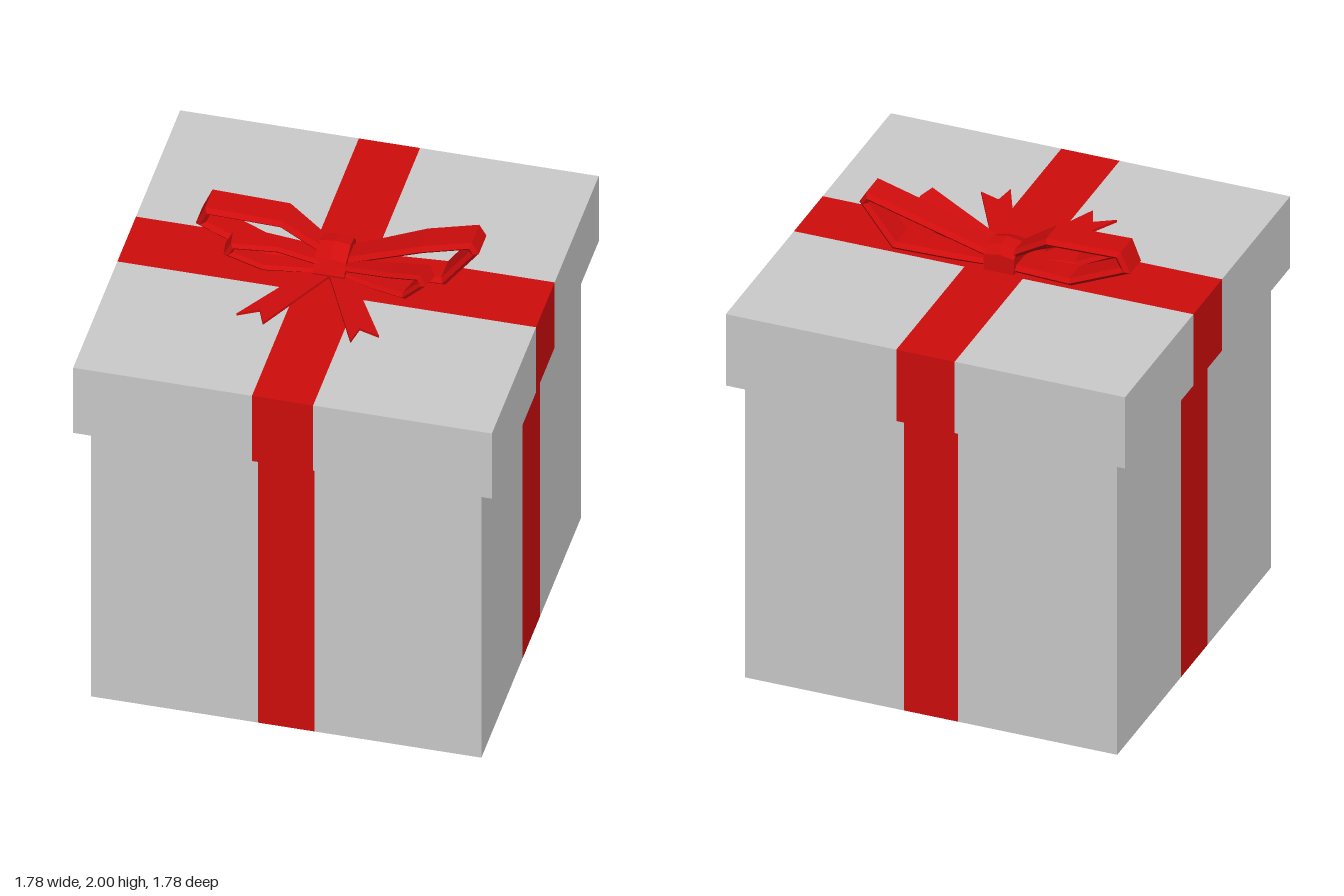
import * as THREE from 'three';
import { mergeGeometries } from 'three/addons/utils/BufferGeometryUtils.js';

const grey = new THREE.MeshStandardMaterial({ color: 0xcccccc, flatShading: true });
const red = new THREE.MeshStandardMaterial({ color: 0xd00c0c, flatShading: true });

function add(parent, name, geometry, material) {
  const mesh = new THREE.Mesh(geometry, material);
  mesh.name = name;
  parent.add(mesh);
}

// Box skin whose faces are split into grey corners and flush ribbon strips
function wrappedBox(name, half, y0, y1, ribbonX, ribbonZ, hasTop) {
  const group = new THREE.Group();
  group.name = name;
  const paper = [], ribbon = [];
  const panel = (u0, u1, v0, v1, place, list) => {
    const g = new THREE.PlaneGeometry(u1 - u0, v1 - v0);
    g.translate((u0 + u1) / 2, (v0 + v1) / 2, 0);
    place(g);
    list.push(g);
  };
  const cutsX = [-half, -ribbonX, ribbonX, half];
  const cutsZ = [-half, -ribbonZ, ribbonZ, half];
  // Four walls
  for (let k = 0; k < 4; k++) {
    const cuts = k % 2 ? cutsZ : cutsX;
    for (let i = 0; i < 3; i++) {
      panel(cuts[i], cuts[i + 1], y0, y1,
        g => g.translate(0, 0, half).rotateY(k * Math.PI / 2), i === 1 ? ribbon : paper);
    }
  }
  // Underside and top
  for (const side of hasTop ? [-1, 1] : [-1]) {
    for (let i = 0; i < 3; i++) for (let j = 0; j < 3; j++) {
      panel(cutsX[i], cutsX[i + 1], cutsZ[j], cutsZ[j + 1],
        g => g.rotateX(-side * Math.PI / 2).translate(0, side > 0 ? y1 : y0, 0),
        i === 1 || j === 1 ? ribbon : paper);
    }
  }
  add(group, name + 'Paper', mergeGeometries(paper), grey);
  add(group, name + 'Ribbon', mergeGeometries(ribbon), red);
  return group;
}

// Closed band with bevelled rims; path is counterclockwise [x, y, z centre, half width]
function loopBand(path, t, bevel) {
  const n = path.length, pos = [];
  const rings = path.map((p, i) => {
    const a = path[(i + n - 1) % n], b = path[(i + 1) % n];
    const t1 = new THREE.Vector2(p[0] - a[0], p[1] - a[1]).normalize();
    const t2 = new THREE.Vector2(b[0] - p[0], b[1] - p[1]).normalize();
    const m = t1.clone().add(t2).normalize();
    const s = t / Math.max(0.6, m.dot(t1));
    const w = p[3];
    return [[s, bevel - w], [s, w - bevel], [0, w], [-s, w - bevel], [-s, bevel - w], [0, -w]]
      .map(([o, z]) => [p[0] + m.y * o, p[1] - m.x * o, p[2] + z]);
  });
  for (let i = 0; i < n; i++) for (let j = 0; j < 6; j++) {
    const r = rings[i], q = rings[(i + 1) % n], k = (j + 1) % 6;
    pos.push(...r[j], ...q[j], ...r[k], ...r[k], ...q[j], ...q[k]);
  }
  const g = new THREE.BufferGeometry();
  g.setAttribute('position', new THREE.Float32BufferAttribute(pos, 3));
  g.computeVertexNormals();
  return g;
}

// Flat notched ribbon end, drawn as [x, z] corners, rising gently to the tip
function tail(points) {
  const shape = new THREE.Shape(points.map(([x, z]) => new THREE.Vector2(x, -z)));
  const g = new THREE.ExtrudeGeometry(shape, { depth: 0.012, bevelEnabled: false });
  g.rotateX(-Math.PI / 2);
  const p = g.attributes.position;
  for (let i = 0; i < p.count; i++) p.setY(i, p.getY(i) + 1.753 + 0.024 * Math.max(0, p.getZ(i)));
  g.computeVertexNormals();
  return g;
}

export function createModel() {
  const model = new THREE.Group();
  model.name = 'giftBox';
  model.add(wrappedBox('body', 0.83, 0, 1.41, 0.12, 0.145, false));
  model.add(wrappedBox('lid', 0.89, 1.41, 1.75, 0.13, 0.155, true));

  const bow = new THREE.Group();
  bow.name = 'bow';
  model.add(bow);

  // Large loops
  add(bow, 'largeLoopLeft', loopBand([
    [0.0, 1.765, -0.06, 0.06], [0.2, 1.768, -0.07, 0.07], [0.45, 1.772, -0.08, 0.075],
    [0.583, 1.95, -0.08, 0.08], [0.565, 1.98, -0.08, 0.08], [0.36, 1.922, -0.08, 0.08],
    [0.03, 1.8, -0.06, 0.06],
  ], 0.017, 0.018), red);
  add(bow, 'largeLoopRight', loopBand([
    [-0.03, 1.8, -0.07, 0.06], [-0.09, 1.845, -0.07, 0.06], [-0.235, 1.94, -0.08, 0.08],
    [-0.55, 1.948, -0.08, 0.08], [-0.58, 1.88, -0.08, 0.075], [-0.335, 1.772, -0.08, 0.075],
    [-0.05, 1.766, -0.07, 0.06],
  ], 0.017, 0.018), red);

  // Small loops, swung forward
  const smallLeft = loopBand([
    [0.0, 1.764, 0, 0.04], [0.2, 1.765, 0, 0.05], [0.34, 1.775, 0, 0.055],
    [0.425, 1.865, 0, 0.055], [0.41, 1.895, 0, 0.055], [0.26, 1.85, 0, 0.052],
    [0.03, 1.79, 0, 0.04],
  ], 0.014, 0.014);
  add(bow, 'smallLoopLeft', smallLeft.rotateY(-0.26).translate(0, 0, -0.01), red);
  const smallRight = loopBand([
    [-0.02, 1.79, 0, 0.04], [-0.24, 1.868, 0, 0.05], [-0.425, 1.873, 0, 0.052],
    [-0.445, 1.835, 0, 0.052], [-0.3, 1.772, 0, 0.052], [0.0, 1.764, 0, 0.04],
  ], 0.014, 0.014);
  add(bow, 'smallLoopRight', smallRight.rotateY(0.15).translate(0, 0, -0.01), red);

  // Knot: faceted wrap, slightly crowned across its width
  const profile = [[-0.145, 1.75], [-0.14, 1.82], [-0.11, 1.855], [-0.05, 1.862],
    [0.03, 1.825], [0.06, 1.775], [0.055, 1.75]];
  const knot = new THREE.ExtrudeGeometry(
    new THREE.Shape(profile.map(([z, y]) => new THREE.Vector2(-z, y))),
    { depth: 0.135, steps: 2, bevelEnabled: false });
  knot.rotateY(Math.PI / 2).translate(-0.085, 0, 0);
  const p = knot.attributes.position;
  for (let i = 0; i < p.count; i++) {
    const middle = Math.abs(p.getX(i) + 0.0175) < 0.01;
    if (middle && p.getY(i) > 1.8) p.setY(i, p.getY(i) + 0.012);
  }
  knot.computeVertexNormals();
  add(bow, 'knot', knot, red);

  // Ribbon tails
  add(bow, 'tailRight', tail([[-0.08, -0.02], [-0.32, 0.4], [-0.235, 0.35], [-0.2, 0.435], [-0.01, 0.04], [-0.01, -0.02]]), red);
  add(bow, 'tailLeft', tail([[-0.02, -0.02], [-0.02, 0.04], [0.18, 0.465], [0.195, 0.37], [0.285, 0.4], [0.05, -0.02]]), red);
  return model;
}
